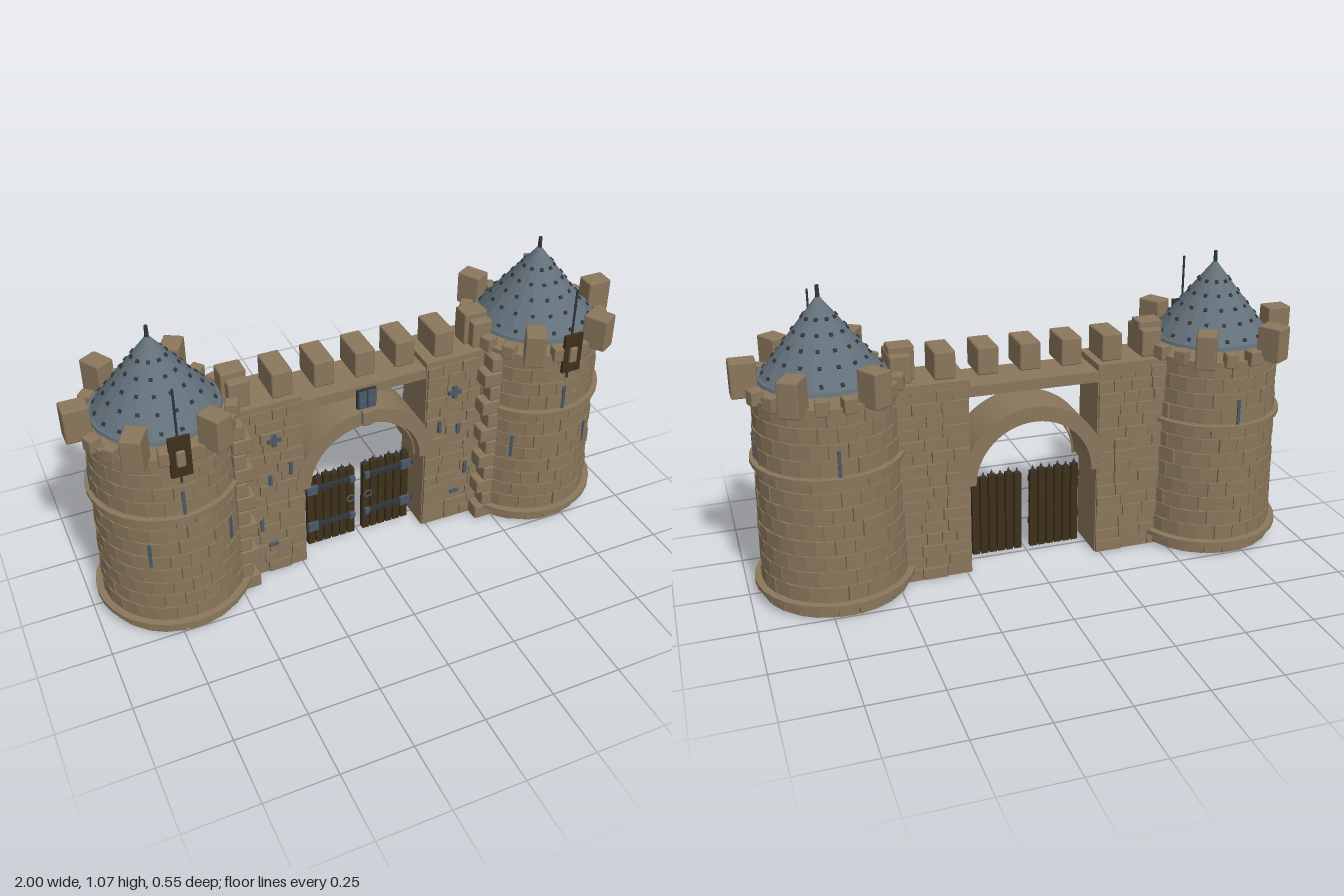
import * as THREE from 'three';
import { mergeGeometries } from 'three/addons/utils/BufferGeometryUtils.js';
import { RoundedBoxGeometry } from 'three/addons/geometries/RoundedBoxGeometry.js';

const mat = (name, color) => {
  const m = new THREE.MeshStandardMaterial({ color });
  m.name = name;
  return m;
};

export function createModel() {
  const stone = mat('stone', 0x8a775c);
  const mortar = mat('mortar', 0x77654d);
  const slate = mat('roof slate', 0x64717b);
  const steel = mat('blue steel', 0x4a5966);
  const iron = mat('dark iron', 0x30373d);
  const wood = mat('dark wood', 0x3d2f1b);

  let seed = 11;
  const rand = () => (seed = (seed * 16807) % 2147483647) / 2147483647;

  const root = new THREE.Group();
  root.name = 'castleGate';

  const add = (parent, name, geo, material, x = 0, y = 0, z = 0) => {
    const m = new THREE.Mesh(geo, material);
    m.name = name;
    m.position.set(x, y, z);
    parent.add(m);
    return m;
  };
  const box = (parent, name, material, w, h, d, x, y, z) =>
    add(parent, name, new THREE.BoxGeometry(w, h, d), material, x, y, z);
  const block = (parent, name, w, h, d, x, y, z) =>
    add(parent, name, new RoundedBoxGeometry(w, h, d, 1, 0.006), stone, x, y, z);
  const ring = (parent, name, r, y0, y1) =>
    add(parent, name, new THREE.CylinderGeometry(r, r, y1 - y0, 32), stone, 0, (y0 + y1) / 2, 0);
  // Places a geometry at radius r and angle a, with its x axis pointing outwards
  const around = (geo, r, a, y, tilt = 0) =>
    geo.rotateZ(tilt).translate(r, y, 0).rotateY(-a);

  const towerRadius = (y) => 0.254 - 0.026 * y;
  const deg = Math.PI / 180;

  function tower(side) {
    const g = new THREE.Group();
    g.name = side > 0 ? 'leftTower' : 'rightTower';
    g.position.x = side * 0.7;
    root.add(g);
    const ang = (d) => (side > 0 ? d : 180 - d) * deg;

    // Masonry drum
    add(g, 'towerCore', new THREE.CylinderGeometry(0.228, 0.246, 0.725, 32), mortar, 0, 0.3675, 0);
    const bricks = [];
    const rows = 13, n = 24, h = 0.725 / rows;
    for (let i = 0; i < rows; i++) {
      const y = 0.005 + (i + 0.5) * h, r = towerRadius(y);
      for (let k = 0; k < n; k++) {
        const a = ((k + (i % 2) / 2 + (rand() - 0.5) * 0.08) * 2 * Math.PI) / n;
        const w = (2 * Math.PI * r) / n - 0.002;
        bricks.push(around(new THREE.BoxGeometry(0.02, h - 0.002, w), r - 0.011 + rand() * 0.003, a, y));
      }
    }
    add(g, 'towerBricks', mergeGeometries(bricks), stone);
    ring(g, 'baseRing', 0.277, 0.043, 0.06);
    ring(g, 'middleRing', 0.259, 0.49, 0.505);
    ring(g, 'topRing', 0.247, 0.722, 0.738);

    // Parapet: six tall merlons and small blocks between them
    for (let k = 0; k < 18; k++) {
      const a = k * 20 * deg;
      const tall = k % 3 === 0;
      const geo = tall ? new RoundedBoxGeometry(0.088, 0.122, 0.07, 1, 0.006)
                       : new RoundedBoxGeometry(0.045, 0.052, 0.045, 1, 0.005);
      add(g, tall ? 'towerMerlon' : 'parapetBlock', around(geo, tall ? 0.255 : 0.243, a, tall ? 0.787 : 0.748), stone);
    }

    // Conical roof with rows of studs
    const cone = new THREE.ConeGeometry(0.212, 0.27, 20).toNonIndexed();
    cone.computeVertexNormals();
    add(g, 'roof', cone, slate, 0, 0.905, 0);
    add(g, 'roofRim', new THREE.CylinderGeometry(0.213, 0.216, 0.012, 20), slate, 0, 0.774, 0);
    add(g, 'finial', new THREE.CylinderGeometry(0.006, 0.008, 0.06, 8), iron, 0, 1.04, 0);
    const studs = [];
    [0.795, 0.842, 0.886, 0.928, 0.97].forEach((y, i) => {
      const r = (0.212 * (1.04 - y)) / 0.27, count = 18 - i * 2;
      for (let k = 0; k < count; k++) {
        const a = ((k + (i % 2) / 2) * 2 * Math.PI) / count;
        studs.push(around(new THREE.BoxGeometry(0.008, 0.012, 0.012), r, a, y, 38 * deg));
      }
    });
    add(g, 'roofStuds', mergeGeometries(studs), iron);

    // Arrow slits
    const slits = [[0, 0.55], [90, 0.55], [270, 0.55], [60, 0.345], [131, 0.345]];
    for (const [d, y] of slits)
      add(g, 'arrowSlit', around(new THREE.BoxGeometry(0.012, 0.092, 0.011), towerRadius(y), ang(d), y), steel);

    // Wooden plaque on a thin pole
    box(g, 'plaque', wood, 0.07, 0.148, 0.012, 0, 0.749, 0.259);
    block(g, 'plaqueStud', 0.03, 0.06, 0.02, 0, 0.745, 0.264);
    add(g, 'pole', new THREE.CylinderGeometry(0.004, 0.004, 0.35, 6), iron, 0, 0.815, 0.247);
  }

  function wall(side) {
    const g = new THREE.Group();
    g.name = side > 0 ? 'leftWall' : 'rightWall';
    root.add(g);
    box(g, 'wallCore', mortar, 0.255, 0.705, 0.164, side * 0.3635, 0.3525, 0);
    box(g, 'archReveal', stone, 0.006, 0.705, 0.174, side * 0.235, 0.3525, 0);
    // Uneven brick courses on both faces
    const bricks = [];
    const rows = 16, h = 0.705 / rows;
    for (const face of [1, -1])
      for (let i = 0; i < rows; i++) {
        let x = 0.234;
        while (x < 0.475) {
          let w = 0.05 + rand() * 0.055;
          if (x + w > 0.45) w = 0.49 - x;
          const d = 0.012 + rand() * 0.008;
          bricks.push(new THREE.BoxGeometry(w - 0.003, h - 0.003, d)
            .translate(side * (x + w / 2), (i + 0.5) * h, face * (0.079 + d / 2)));
          x += w;
        }
      }
    add(g, 'wallBricks', mergeGeometries(bricks), stone);
    box(g, 'wallLedge', stone, 0.27, 0.022, 0.185, side * 0.365, 0.716, -0.003);
    // Corner stones where wall and tower meet
    for (let i = 0; i < 12; i++) {
      const w = i % 2 ? 0.045 : 0.07;
      block(g, 'cornerStone', w, 0.057, 0.1, side * (0.505 - w / 2 - 0.005), 0.03 + i * 0.06, 0.1);
    }
    // Small steel-blue inlays
    const inlays = [[0.4, 0.23, 0.012, 0.05], [0.285, 0.45, 0.012, 0.05], [0.36, 0.13, 0.035, 0.012],
      [0.36, 0.42, 0.012, 0.04], [0.34, 0.585, 0.05, 0.016], [0.34, 0.585, 0.016, 0.05]];
    for (const [x, y, w, hh] of inlays) box(g, 'inlay', steel, w, hh, 0.009, side * x, y, 0.1);
  }

  function gateLeaf(side) {
    const g = new THREE.Group();
    g.name = side > 0 ? 'leftGate' : 'rightGate';
    root.add(g);
    const z = 0.02;
    for (let i = 0; i < 6; i++) {
      const x = side * (0.03 + i * 0.0315);
      const h = 0.3 + (i % 2) * 0.006;
      box(g, 'gatePlank', wood, 0.026, h, 0.022, x, 0.01 + h / 2, z);
      const tip = add(g, 'gateSpike', new THREE.ConeGeometry(0.009, 0.024, 4), iron, x, h + 0.02, z);
      tip.rotation.y = Math.PI / 4;
    }
    for (const y of [0.1, 0.27]) {
      box(g, 'gateBand', iron, 0.195, 0.016, 0.012, side * 0.115, y, z + 0.016);
      box(g, 'hingePlate', steel, 0.04, 0.036, 0.012, side * 0.185, y, z + 0.02);
      box(g, 'bandEnd', steel, 0.018, 0.026, 0.012, side * 0.03, y, z + 0.02);
    }
    add(g, 'gateRing', new THREE.TorusGeometry(0.014, 0.003, 6, 14), steel, side * 0.035, 0.18, z + 0.018);
  }

  for (const side of [1, -1]) {
    tower(side);
    wall(side);
    gateLeaf(side);
  }

  // Stone arch with a thin inner moulding
  const arch = new THREE.Shape();
  arch.absarc(0, 0, 0.266, 0, Math.PI, false);
  arch.absarc(0, 0, 0.212, Math.PI, 0, true);
  add(root, 'arch', new THREE.ExtrudeGeometry(arch, { depth: 0.19, bevelEnabled: false, curveSegments: 24 }),
    stone, 0, 0.335, -0.093);
  add(root, 'archMoulding', new THREE.TorusGeometry(0.202, 0.004, 6, 32, Math.PI), stone, 0, 0.335, 0.07);
  block(root, 'keystone', 0.038, 0.06, 0.03, 0, 0.578, 0.095);

  // Walkway over the gate and its merlons
  box(root, 'walkway', stone, 0.92, 0.038, 0.176, 0, 0.683, -0.003);
  for (let i = -3; i <= 3; i++)
    block(root, 'wallMerlon', 0.074, 0.098, 0.135, i * 0.149 + 0.008, 0.776, 0);

  // Four-part emblem
  box(root, 'emblemBack', iron, 0.07, 0.074, 0.012, 0, 0.655, 0.092);
  for (const x of [-0.017, 0.017])
    for (const y of [-0.018, 0.018])
      box(root, 'emblemTile', steel, 0.029, 0.031, 0.009, x, 0.655 + y, 0.1);

  return root;
}
